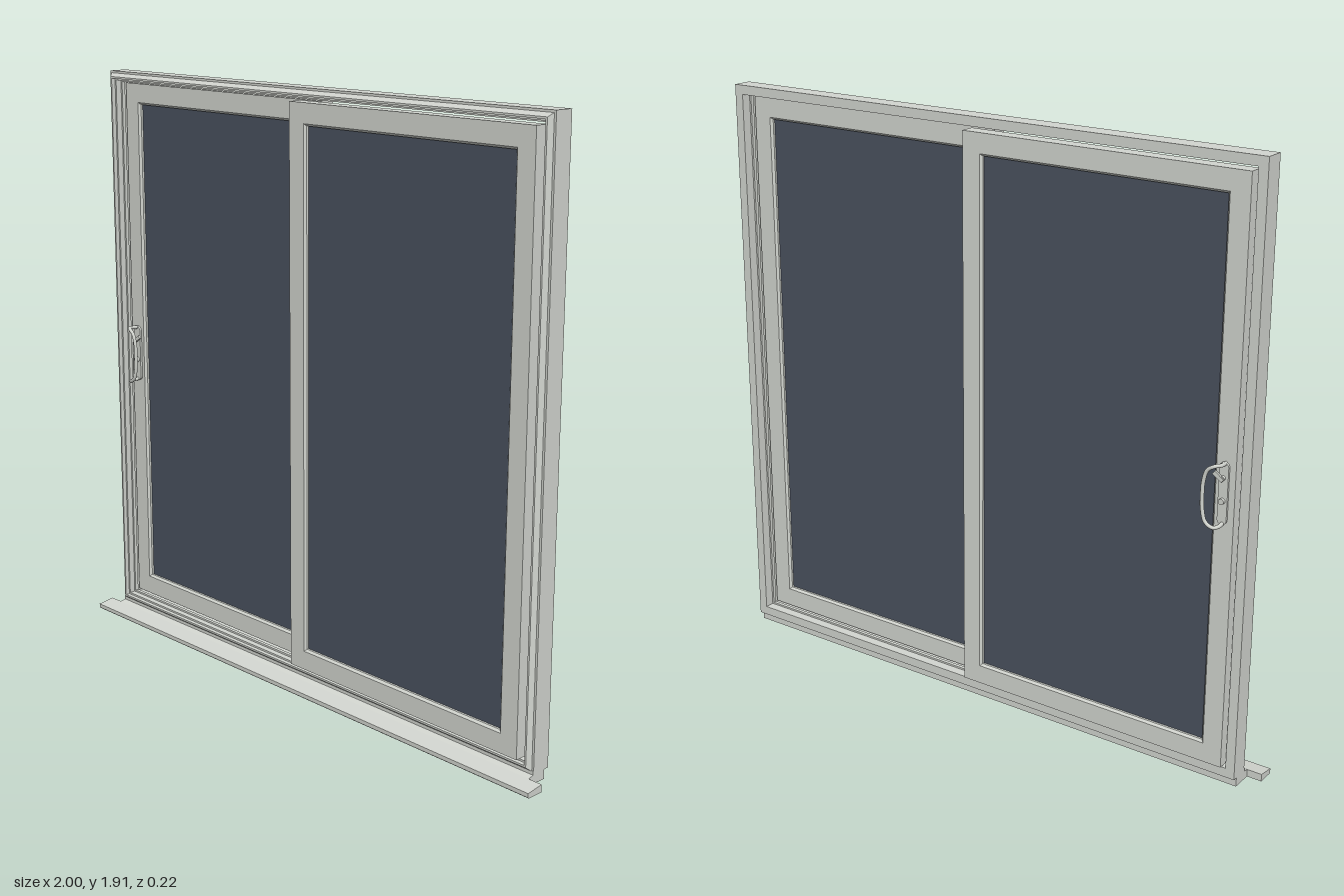
import * as THREE from 'three';

const frameMat = new THREE.MeshStandardMaterial({ color: 0xd3d6d0 });
const glassMat = new THREE.MeshStandardMaterial({ color: 0x4a525f });

function add(parent, name, geometry, material = frameMat, x = 0, y = 0, z = 0) {
  const mesh = new THREE.Mesh(geometry, material);
  mesh.name = name;
  mesh.position.set(x, y, z);
  parent.add(mesh);
  return mesh;
}

// Mitred rectangular ring: a closed profile of [inset, z] points swept round four corners
function mitredRing(x0, x1, y0, y1, profile) {
  const corners = [[x0, y0, 1, 1], [x1, y0, -1, 1], [x1, y1, -1, -1], [x0, y1, 1, -1]];
  const at = (c, p) => [c[0] + c[2] * p[0], c[1] + c[3] * p[0], p[1]];
  const positions = [];
  for (let i = 0; i < 4; i++) {
    const c0 = corners[i], c1 = corners[(i + 1) % 4];
    for (let j = 0; j < profile.length; j++) {
      const p0 = profile[j], p1 = profile[(j + 1) % profile.length];
      const a = at(c0, p0), b = at(c1, p0), c = at(c1, p1), d = at(c0, p1);
      positions.push(...a, ...b, ...c, ...a, ...c, ...d);
    }
  }
  const g = new THREE.BufferGeometry();
  g.setAttribute('position', new THREE.Float32BufferAttribute(positions, 3));
  g.computeVertexNormals();
  return g;
}

// Bar along x from a [z, y] cross-section
function barAlongX(section, halfLength) {
  const shape = new THREE.Shape(section.map(([z, y]) => new THREE.Vector2(-z, y)));
  const g = new THREE.ExtrudeGeometry(shape, { depth: 2 * halfLength, bevelEnabled: false });
  g.translate(0, 0, -halfLength);
  g.rotateY(Math.PI / 2);
  return g;
}

// Upright plate with round ends
function roundPlate(width, height, depth) {
  const r = width / 2, h = height / 2 - r;
  const shape = new THREE.Shape();
  shape.absarc(0, h, r, 0, Math.PI, false);
  shape.absarc(0, -h, r, Math.PI, 2 * Math.PI, false);
  const g = new THREE.ExtrudeGeometry(shape, { depth, bevelEnabled: false, curveSegments: 10 });
  g.translate(0, 0, -depth / 2);
  return g;
}

// Glazed panel: stiles and rails with small glazing bevels, plus the pane
function createPanel(name, x0, x1, z) {
  const group = new THREE.Group();
  group.name = name;
  const y0 = 0.07, y1 = 1.87;
  const profile = [[0, -0.024], [0, 0.024], [0.062, 0.024], [0.069, 0.017], [0.069, -0.017], [0.062, -0.024]];
  add(group, 'panelFrame', mitredRing(x0, x1, y0, y1, profile));
  add(group, 'glass', new THREE.BoxGeometry(x1 - x0 - 0.13, y1 - y0 - 0.13, 0.02), glassMat,
    (x0 + x1) / 2, (y0 + y1) / 2, 0);
  group.position.z = z;
  return group;
}

// Handle on one face; side is +1 for the front and -1 for the back
function createHandle(name, face, side) {
  const group = new THREE.Group();
  group.name = name;
  add(group, 'handlePlate', roundPlate(0.03, 0.19, 0.008), frameMat, -0.88, 0.947, face + side * 0.003);
  const points = [[-0.882, 1.038, 0], [-0.882, 1.04, 0.03], [-0.872, 1.04, 0.045], [-0.85, 1.025, 0.048],
    [-0.839, 0.99, 0.048], [-0.837, 0.947, 0.048], [-0.839, 0.905, 0.048], [-0.85, 0.868, 0.048],
    [-0.872, 0.854, 0.045], [-0.882, 0.854, 0.03], [-0.882, 0.856, 0]];
  const path = new THREE.CatmullRomCurve3(points.map(([x, y, z]) => new THREE.Vector3(x, y, face + side * z)));
  add(group, 'pullGrip', new THREE.TubeGeometry(path, 60, 0.006, 8, false));
  // Thumb latch and lock cylinder
  const latch = add(group, 'thumbLatch', new THREE.BoxGeometry(0.036, 0.012, 0.008), frameMat,
    -0.869, 1.0, face + side * 0.016);
  latch.rotation.z = 0.6;
  for (const [part, y, r] of [['latchPivot', 0.995, 0.007], ['lockCylinder', 0.925, 0.009]]) {
    add(group, part, new THREE.CylinderGeometry(r, r, 0.016, 16), frameMat, -0.88, y, face + side * 0.009)
      .rotation.x = Math.PI / 2;
  }
  return group;
}

export function createModel() {
  const model = new THREE.Group();
  model.name = 'slidingPatioDoor';

  // Outer frame with a stepped front trim and a divider between the two tracks
  const frameProfile = [[0, -0.036], [0, 0.028], [0.007, 0.028], [0.018, 0.042], [0.024, 0.042], [0.024, 0.028],
    [0.03, 0.028], [0.03, 0.008], [0.036, 0.008], [0.036, -0.004], [0.03, -0.004], [0.03, -0.036]];
  add(model, 'outerFrame', mitredRing(-0.952, 0.952, 0.03, 1.91, frameProfile));

  // Sill: base under the frame and a sloping nose with projecting ends
  add(model, 'sillBase', barAlongX([[-0.02, 0], [0.055, 0], [0.055, 0.022], [0.03, 0.028], [0.03, 0.04], [-0.02, 0.04]], 0.952));
  add(model, 'sillNose', barAlongX([[0.05, 0], [0.105, 0], [0.108, 0.003], [0.108, 0.016], [0.05, 0.024]], 1));

  // Fixed panel on the front track, sliding panel on the back track
  model.add(createPanel('fixedPanel', -0.037, 0.912, 0.034));
  const slider = createPanel('slidingPanel', -0.915, 0.032, -0.032);
  slider.add(createHandle('frontHandle', 0.024, 1), createHandle('backHandle', -0.024, -1));
  model.add(slider);

  return model;
}
